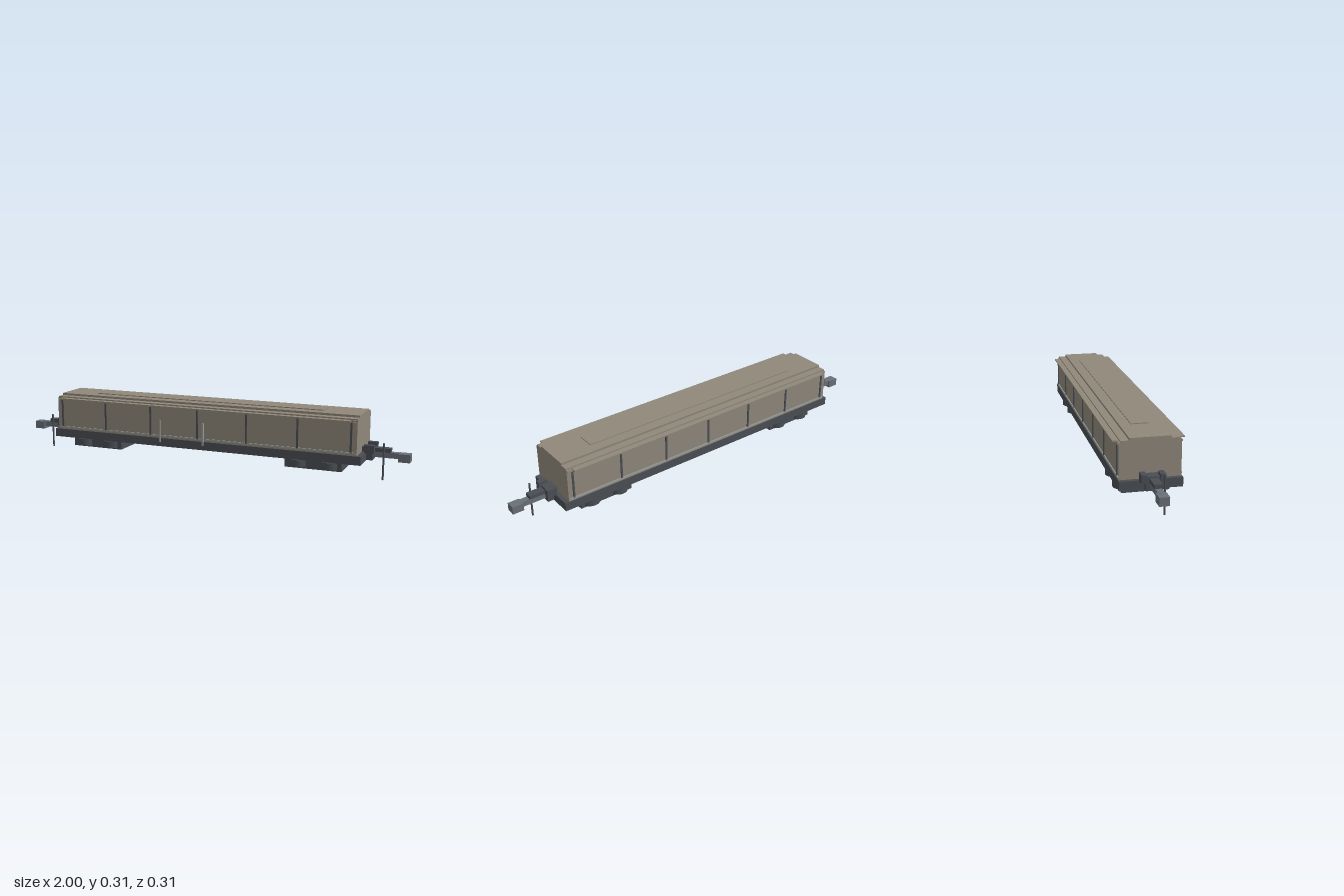
import * as THREE from 'three';

const material = (name, color) => {
  const m = new THREE.MeshStandardMaterial({ color });
  m.name = name;
  return m;
};

export function createModel() {
  const wagon = new THREE.Group();
  wagon.name = 'coveredWagon';
  const tan = material('weathered tan', 0x8f877a);
  const dark = material('dark chassis grey', 0x4a4e54);
  const steel = material('coupler steel', 0x6a7078);
  const pale = material('pale grey', 0x989b98);

  const add = (parent, name, geometry, mat, x = 0, y = 0, z = 0) => {
    const mesh = new THREE.Mesh(geometry, mat);
    mesh.name = name;
    mesh.position.set(x, y, z);
    parent.add(mesh);
    return mesh;
  };
  // Box given by its limits on each axis
  const box = (parent, name, mat, x0, x1, y0, y1, z0, z1) =>
    add(parent, name, new THREE.BoxGeometry(x1 - x0, y1 - y0, z1 - z0), mat,
      (x0 + x1) / 2, (y0 + y1) / 2, (z0 + z1) / 2);

  // Chassis and body
  box(wagon, 'underframe', dark, -0.8, 0.8, 0.083, 0.124, -0.137, 0.137);
  box(wagon, 'body', tan, -0.78, 0.78, 0.124, 0.286, -0.134, 0.134);

  // Stepped roof
  box(wagon, 'eaves', tan, -0.75, 0.75, 0.281, 0.287, -0.155, 0.155);
  box(wagon, 'roofLower', tan, -0.78, 0.78, 0.286, 0.293, -0.127, 0.127);
  box(wagon, 'roofUpper', tan, -0.78, 0.78, 0.293, 0.303, -0.09, 0.09);
  box(wagon, 'roofRidge', tan, -0.6, 0.6, 0.303, 0.307, -0.04, 0.04);

  // Side ribs and rails
  for (const side of [-1, 1]) {
    const panel = new THREE.Group();
    panel.name = side > 0 ? 'frontSide' : 'backSide';
    wagon.add(panel);
    for (let i = -3; i <= 3; i++) {
      add(panel, 'rib', new THREE.BoxGeometry(0.009, 0.142, 0.006), dark, i * 0.251, 0.205, side * 0.1355);
    }
    add(panel, 'topRail', new THREE.BoxGeometry(1.55, 0.007, 0.005), tan, 0, 0.277, side * 0.1355);
    add(panel, 'bottomRail', new THREE.BoxGeometry(1.55, 0.008, 0.006), pale, 0, 0.136, side * 0.1355);
  }

  // Door posts on the front side only
  for (const x of [-0.198, 0.03]) {
    box(wagon, 'doorPost', pale, x - 0.004, x + 0.004, 0.105, 0.215, 0.134, 0.142);
  }

  // Bogies
  for (const side of [-1, 1]) {
    const bogie = new THREE.Group();
    bogie.name = side > 0 ? 'leftBogie' : 'rightBogie';
    bogie.position.x = side * 0.57;
    wagon.add(bogie);
    box(bogie, 'bogieFrame', dark, -0.136, 0.136, 0.036, 0.077, -0.105, 0.105);
    box(bogie, 'bolster', pale, -0.07, 0.07, 0.075, 0.084, -0.09, 0.09);
    for (const x of [-0.075, 0.075]) {
      for (const z of [-0.085, 0.085]) {
        add(bogie, 'roundHousing', new THREE.CylinderGeometry(0.045, 0.045, 0.034, 24), dark, x, 0.061, z);
      }
    }
  }

  // Couplers, buffer blocks and hanging rods; built for +x and turned for -x
  for (const side of [-1, 1]) {
    const end = new THREE.Group();
    end.name = side > 0 ? 'leftCoupler' : 'rightCoupler';
    end.rotation.y = side > 0 ? 0 : Math.PI;
    wagon.add(end);
    box(end, 'drawGear', dark, 0.78, 0.83, 0.086, 0.147, -0.03, 0.03);
    box(end, 'shaft', steel, 0.8, 0.96, 0.1, 0.126, -0.014, 0.014);
    box(end, 'shaftCover', dark, 0.835, 0.91, 0.126, 0.144, -0.018, 0.018);
    box(end, 'head', steel, 0.945, 1, 0.087, 0.125, -0.022, 0.022);
    for (const z of [-0.04, 0.04]) {
      box(end, 'bufferBlock', dark, 0.795, 0.84, 0.122, 0.16, z - 0.012, z + 0.012);
    }
    // The rod hangs on the front side at both ends
    add(end, 'hangingRod', new THREE.CylinderGeometry(0.0045, 0.0045, 0.172, 10), dark, 0.882, 0.086, side * 0.034);
  }

  return wagon;
}
